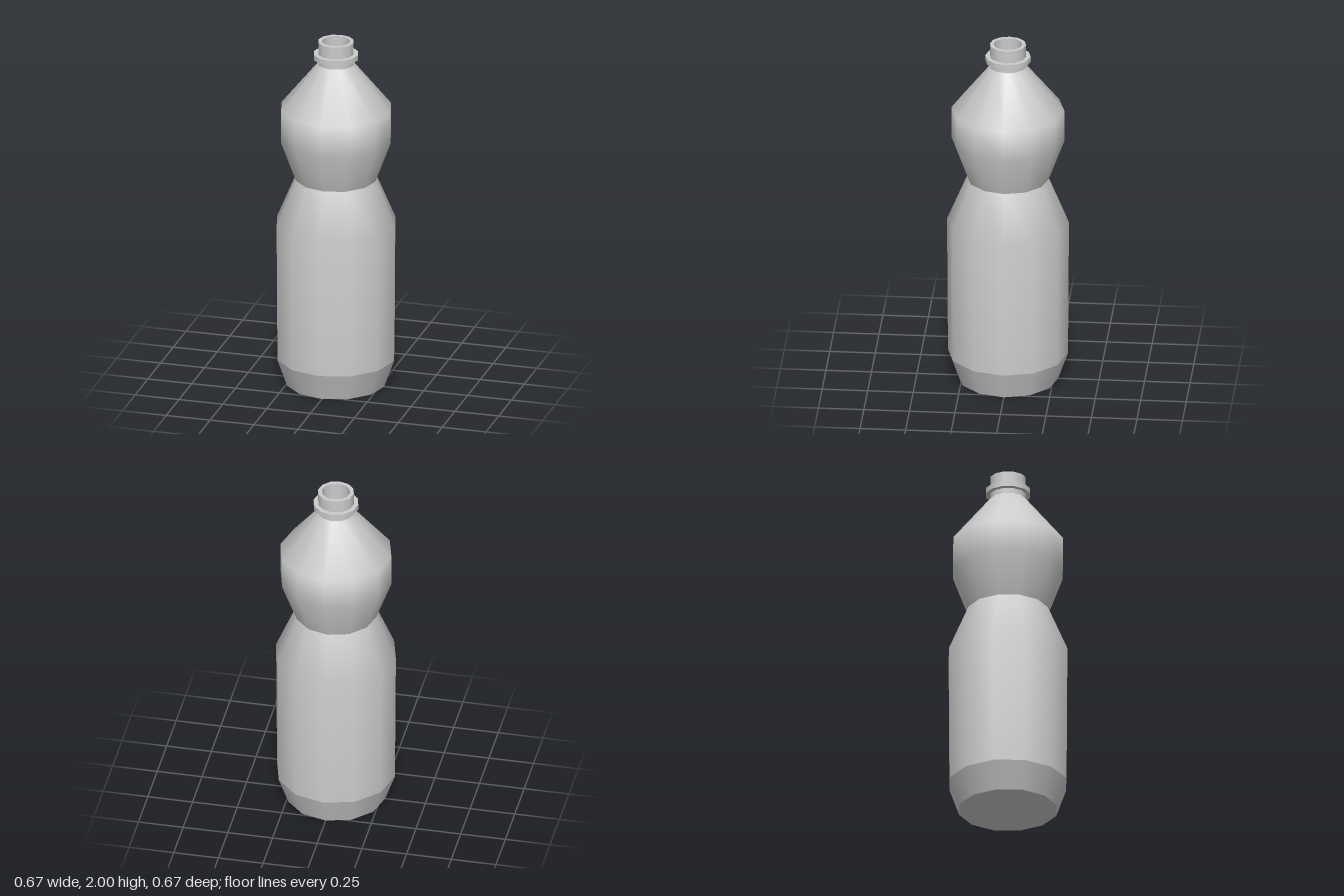
import * as THREE from 'three';
import { mergeGeometries } from 'three/addons/utils/BufferGeometryUtils.js';

const SIDES = 12;
const material = new THREE.MeshStandardMaterial({ color: 0xcccccc });

// Smooth band turned around y; profile points are [radius, height]
const band = (profile) =>
  new THREE.LatheGeometry(profile.map(([r, y]) => new THREE.Vector2(r, y)), SIDES);

// One band per profile segment, so every edge between them stays sharp
const crispBands = (profile) =>
  mergeGeometries(profile.slice(1).map((p, i) => band([profile[i], p])));

export function createModel() {
  const bottle = new THREE.Group();
  bottle.name = 'bottle';
  const add = (name, geometry) => {
    const mesh = new THREE.Mesh(geometry, material);
    mesh.name = name;
    bottle.add(mesh);
  };

  // Flat underside and tapered foot
  add('base', crispBands([[0, 0], [0.275, 0], [0.33, 0.155]]));

  // Lower body, narrowing to the waist
  add('lowerBody', band([[0.33, 0.155], [0.335, 0.94], [0.225, 1.2]]));

  // Upper bulge and sloping shoulder
  add('upperBody', band([[0.225, 1.2], [0.31, 1.43], [0.31, 1.61], [0.1, 1.87]]));

  // Neck with collar ring, rim and recessed mouth
  add('neck', crispBands([
    [0.1, 1.87], [0.1, 1.9], [0.125, 1.9], [0.125, 1.93], [0.1, 1.93],
    [0.1, 2], [0.078, 2], [0.078, 1.9], [0, 1.9],
  ]));

  return bottle;
}
